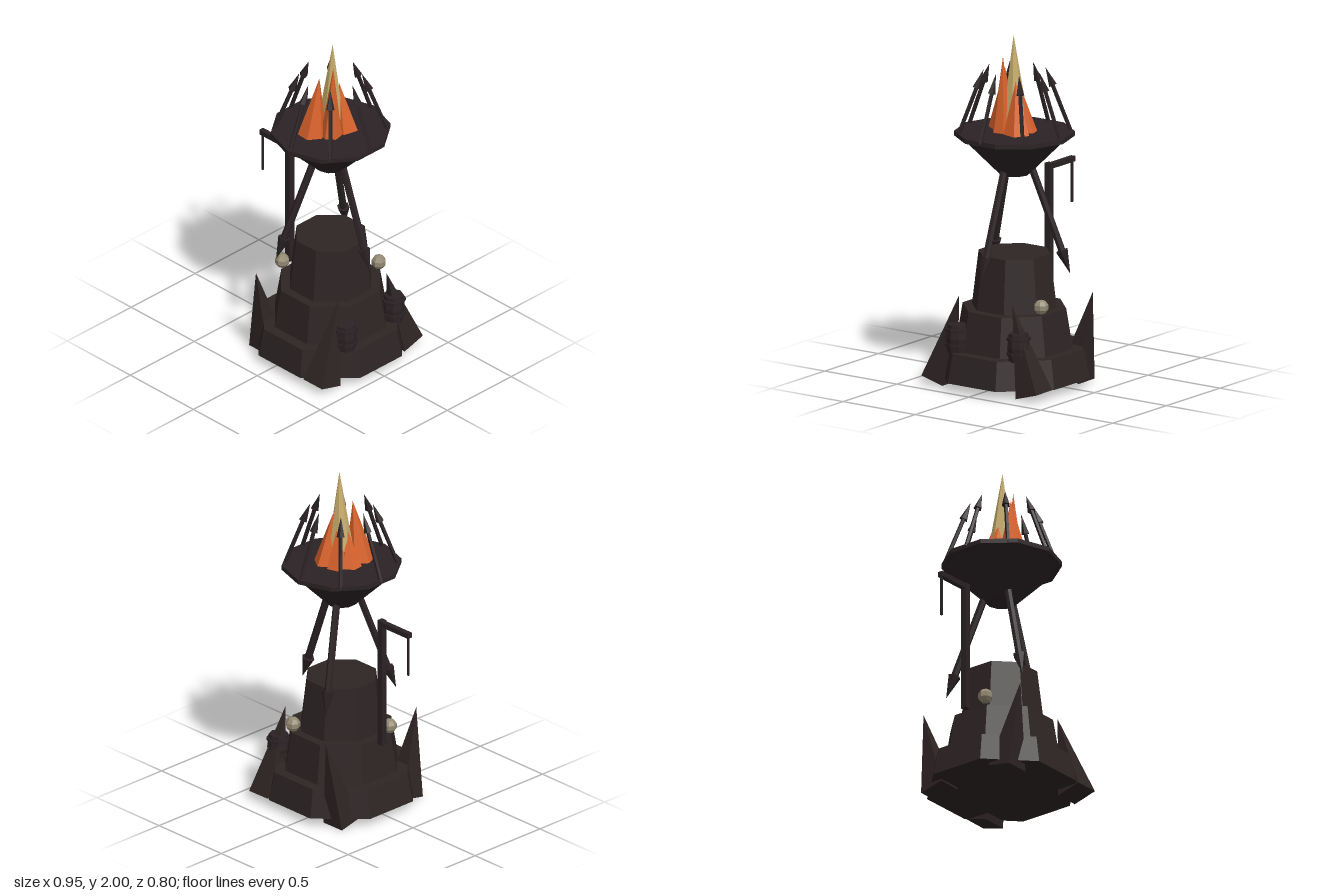
import * as THREE from 'three';

const mat = (name, color) => {
  const m = new THREE.MeshStandardMaterial({ color, flatShading: true });
  m.name = name;
  return m;
};

export function createModel() {
  const root = new THREE.Group();
  root.name = 'beaconTower';
  const stone = mat('darkStone', 0x2e2424);
  const iron = mat('darkIron', 0x2b2224);
  const orange = mat('flameOrange', 0xd9622b);
  const gold = mat('flameGold', 0xc8ad6c);
  const bone = mat('bone', 0x948a72);
  const CX = 0.074; // tower axis

  const add = (name, geo, material, x = 0, y = 0, z = 0) => {
    const m = new THREE.Mesh(geo, material);
    m.name = name;
    m.position.set(x, y, z);
    root.add(m);
    return m;
  };

  // Tapered prism from point a to point b
  const rod = (name, a, b, ra, rb, sides, material, twist = 0) => {
    const va = new THREE.Vector3(...a), vb = new THREE.Vector3(...b);
    const dir = vb.clone().sub(va);
    const geo = new THREE.CylinderGeometry(rb, ra, dir.length(), sides, 1, false, twist);
    const m = add(name, geo, material);
    m.position.copy(va).add(vb).multiplyScalar(0.5);
    m.quaternion.setFromUnitVectors(new THREE.Vector3(0, 1, 0), dir.normalize());
    return m;
  };
  const mix = (a, b, t) => a.map((v, i) => v + (b[i] - v) * t);

  // Three octagonal tiers: bottom y, top y, bottom apothem, top apothem
  [
    ['baseTier', 0.05, 0.215, 0.4, 0.37],
    ['middleTier', 0.215, 0.443, 0.31, 0.275],
    ['topTier', 0.443, 0.752, 0.225, 0.19],
  ].forEach(([name, y0, y1, r0, r1]) => {
    const k = 1 / Math.cos(Math.PI / 8);
    const geo = new THREE.CylinderGeometry(r1 * k, r0 * k, y1 - y0, 8, 1, false, Math.PI / 8);
    add(name, geo, stone, CX, (y0 + y1) / 2, 0);
  });

  // Rock spikes around the foot
  [
    [[0.335, 0.03, 0.325], [0.335, 0.525, 0.19]],
    [[0.33, 0.03, -0.325], [0.337, 0.525, -0.18]],
    [[-0.18, 0.02, 0.24], [-0.178, 0.525, 0.335]],
    [[-0.18, 0.02, -0.24], [-0.173, 0.525, -0.36]],
  ].forEach(([a, b]) => rod('rockSpike', a, b, 0.105, 0, 4, stone, Math.PI / 4));

  // Barrels with hoops
  [[0.372, 0.175], [0.342, -0.228]].forEach(([x, z]) => {
    const profile = [[0, 0], [0.055, 0], [0.064, 0.08], [0.055, 0.16], [0, 0.16]];
    const geo = new THREE.LatheGeometry(profile.map(p => new THREE.Vector2(...p)), 8);
    add('barrel', geo, iron, x, 0.21, z);
    for (const y of [0.255, 0.34])
      add('barrelHoop', new THREE.CylinderGeometry(0.069, 0.069, 0.016, 8), iron, x, y, z);
  });

  // Skull stones on the ledge
  [[-0.203, 0.105], [0.185, -0.268]].forEach(([x, z]) =>
    add('skullStone', new THREE.SphereGeometry(0.043, 7, 5), bone, x, 0.495, z));

  // Hanging post
  add('gallowsPost', new THREE.BoxGeometry(0.036, 0.765, 0.036), iron, -0.25, 0.815, 0);
  add('gallowsArm', new THREE.BoxGeometry(0.245, 0.03, 0.03), iron, -0.3535, 1.178, 0);
  add('gallowsChain', new THREE.BoxGeometry(0.011, 0.24, 0.011), iron, -0.463, 1.05, 0);

  // Tripod legs ending in spikes
  for (let i = 0; i < 3; i++) {
    const a = i * Math.PI * 2 / 3, c = Math.cos(a), s = Math.sin(a);
    const top = [CX + 0.1 * c, 1.23, 0.1 * s];
    const tip = [CX + 0.313 * c, 0.635, 0.313 * s];
    const joint = mix(top, tip, 0.78);
    rod('tripodLeg', top, joint, 0.021, 0.021, 6, iron);
    rod('tripodSpike', joint, tip, 0.036, 0, 6, iron);
  }

  // Fire bowl and rim
  add('fireBowl', new THREE.CylinderGeometry(0.315, 0.085, 0.225, 10), iron, CX, 1.3125, 0);
  add('bowlRim', new THREE.CylinderGeometry(0.337, 0.337, 0.026, 10), iron, CX, 1.432, 0);

  // Arrow-headed spikes leaning inward round the rim
  for (let i = 0; i < 8; i++) {
    const a = i * Math.PI / 4, c = Math.cos(a), s = Math.sin(a);
    const foot = [CX + 0.318 * c, 1.43, 0.318 * s];
    const tip = [CX + 0.174 * c, 1.805, 0.174 * s];
    const joint = mix(foot, tip, 0.72);
    rod('rimSpikeShaft', foot, joint, 0.012, 0.012, 5, iron);
    rod('rimSpikeHead', joint, tip, 0.024, 0, 5, iron);
  }

  // Flames: base centre x, z, radius, then tip x, y, z
  const flame = (name, material, x, z, r, tx, ty, tz, sides, turn) => {
    const h = ty - 1.445;
    const geo = new THREE.ConeGeometry(r, h, sides, 1, false, turn);
    const p = geo.attributes.position;
    for (let i = 0; i < p.count; i++) {
      const t = p.getY(i) / h + 0.5;
      p.setX(i, p.getX(i) + (tx - x) * t);
      p.setZ(i, p.getZ(i) + (tz - z) * t);
    }
    geo.computeVertexNormals();
    add(name, geo, material, x, 1.445 + h / 2, z);
  };
  flame('flameCore', gold, 0.075, -0.005, 0.085, 0.087, 2.0, -0.004, 7, 0.2);
  [
    [0.037, 0.107, 0.082, 0.062, 1.8, 0.075, 6, 0.45],
    [0.125, 0.045, 0.06, 0.132, 1.88, 0.036, 6, 0.2],
    [0.128, -0.06, 0.078, 0.108, 1.74, -0.035, 5, 0.7],
    [0.045, -0.065, 0.06, 0.065, 1.7, -0.035, 5, 0.3],
    [0.005, 0.005, 0.062, 0.045, 1.68, 0.005, 6, 0.1],
  ].forEach(f => flame('outerFlame', orange, ...f));

  return root;
}
